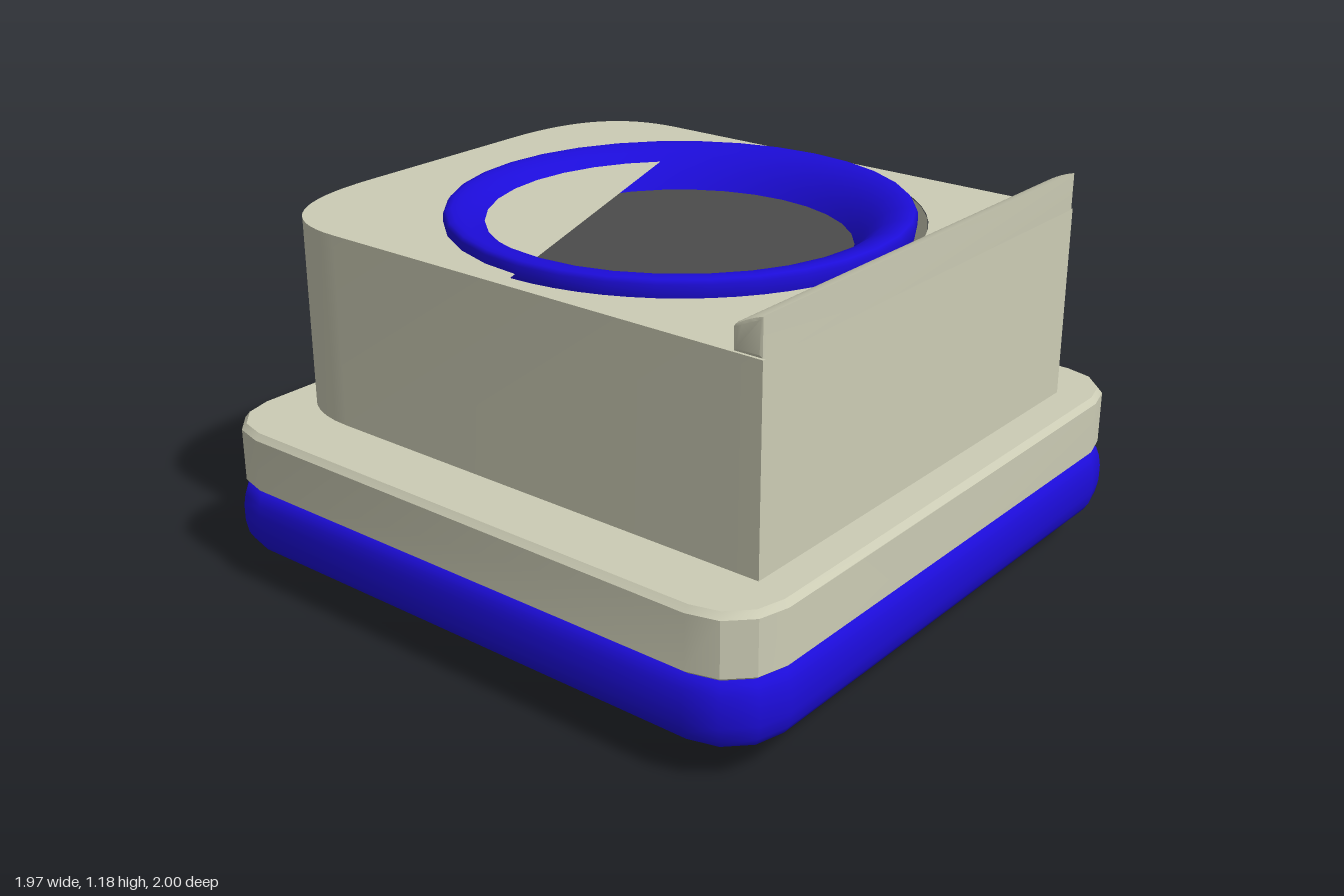
import * as THREE from 'three';
import { toCreasedNormals } from 'three/addons/utils/BufferGeometryUtils.js';

const CREAM = 0xccccb5, BLUE = 0x1c0cd8, DARK = 0x4b4b4b;
const CZ = 0.015; // the base and the bowl share this centre in z

// Outlines are counter-clockwise [x, -z] points
function roundedRect(h, r) {
  const pts = [];
  for (let q = 0; q < 4; q++) {
    const sx = q === 0 || q === 3 ? 1 : -1, sy = q < 2 ? 1 : -1;
    for (let i = 0; i <= 3; i++) {
      const a = (q + i / 3) * Math.PI / 2;
      pts.push(new THREE.Vector2(sx * (h - r) + r * Math.cos(a), sy * (h - r) + r * Math.sin(a)));
    }
  }
  return pts;
}

// Stacks outlines [y, points] from bottom to top, with optional flat ends
function loft(rings, crease, capped) {
  const pos = [], n = rings[0][1].length;
  const add = ([y, pts], i) => pos.push(pts[i % n].x, y, -pts[i % n].y);
  for (let k = 0; k + 1 < rings.length; k++) {
    const lo = rings[k], hi = rings[k + 1];
    for (let i = 0; i < n; i++) {
      add(lo, i); add(lo, i + 1); add(hi, i + 1);
      add(lo, i); add(hi, i + 1); add(hi, i);
    }
  }
  if (capped) {
    const bottom = rings[0], top = rings[rings.length - 1];
    for (let i = 1; i + 1 < n; i++) {
      add(bottom, 0); add(bottom, i + 1); add(bottom, i);
      add(top, 0); add(top, i); add(top, i + 1);
    }
  }
  const g = new THREE.BufferGeometry();
  g.setAttribute('position', new THREE.Float32BufferAttribute(pos, 3));
  return toCreasedNormals(g, crease);
}

export function createModel() {
  const model = new THREE.Group();
  function part(name, geometry, color, x = 0, y = 0, z = 0, side = THREE.FrontSide) {
    const mesh = new THREE.Mesh(geometry, new THREE.MeshStandardMaterial({ color, side }));
    mesh.name = name;
    mesh.position.set(x, y, z);
    model.add(mesh);
    return mesh;
  }

  // Bulging lower base: [y, half width]
  const lower = [[0.11, 0.945], [0.117, 0.962], [0.14, 0.976], [0.18, 0.984], [0.23, 0.984],
    [0.265, 0.978], [0.29, 0.968], [0.30, 0.955]];
  part('lowerBase', loft(lower.map(([y, h]) => [y, roundedRect(h, h - 0.79)]), 0.75, true), BLUE, 0, 0, CZ);

  // Upper base slab with a thin bevel at both edges
  const slab = [[0.30, 0.955], [0.312, 0.97], [0.472, 0.97], [0.49, 0.955]];
  part('upperBase', loft(slab.map(([y, h]) => [y, roundedRect(h, h - 0.79)]), 0.5, true), CREAM, 0, 0, CZ);

  // Feet
  for (const x of [-0.7, 0.7]) for (const z of [-0.73, 0.73])
    part('foot', new THREE.CylinderGeometry(0.068, 0.045, 0.12, 20), DARK, x, 0.06, z + CZ);

  // Body: square at the front, rounded at the back
  const outline = new THREE.Shape();
  outline.moveTo(-0.76, -0.87);
  outline.lineTo(0.76, -0.87);
  outline.lineTo(0.76, 0.62);
  outline.quadraticCurveTo(0.76, 0.95, 0.32, 0.95);
  outline.lineTo(-0.32, 0.95);
  outline.quadraticCurveTo(-0.76, 0.95, -0.76, 0.62);
  outline.closePath();
  const points = outline.getPoints(12);
  if (points[0].equals(points[points.length - 1])) points.pop();
  part('bodyWalls', loft([[0.49, points], [1.07, points]], 0.6, false), CREAM);

  // Body top: round opening cut off by a slanted straight edge at the back
  const opening = new THREE.Path();
  opening.moveTo(-0.71, -CZ);
  opening.absarc(0, -CZ, 0.71, Math.PI, Math.PI * 2, false);
  opening.lineTo(0.55, 0.44);
  opening.closePath();
  outline.holes.push(opening);
  part('bodyTop', new THREE.ShapeGeometry(outline, 16).rotateX(-Math.PI / 2), CREAM, 0, 1.07, 0, THREE.DoubleSide);
  part('openingWall', new THREE.CylinderGeometry(0.71, 0.71, 0.575, 40, 1, true),
    CREAM, 0, 0.78, CZ, THREE.DoubleSide);

  // Raised lip along the front edge
  const lip = new THREE.Shape();
  lip.moveTo(0.78, 1.07);
  lip.lineTo(0.87, 1.07);
  lip.lineTo(0.87, 1.18);
  lip.quadraticCurveTo(0.83, 1.17, 0.79, 1.145);
  lip.lineTo(0.78, 1.135);
  lip.closePath();
  const lipGeometry = new THREE.ExtrudeGeometry(lip, {
    depth: 1.5, bevelThickness: 0.01, bevelSize: 0.01, bevelOffset: -0.01, bevelSegments: 2, curveSegments: 6,
  });
  part('frontLip', toCreasedNormals(lipGeometry.rotateY(-Math.PI / 2), 0.5), CREAM, 0.75);

  // Bowl ring, from the outer skirt over the rim and down to the plate
  const rim = [[0.66, 0.99], [0.68, 1.06], [0.68, 1.095], [0.672, 1.107], [0.655, 1.111], [0.63, 1.108],
    [0.595, 1.095], [0.56, 1.068], [0.525, 1.03], [0.5, 0.99]].map(([r, y]) => new THREE.Vector2(r, y));
  part('bowlRing', new THREE.LatheGeometry(rim, 32), BLUE, 0, 0, CZ, THREE.DoubleSide);
  part('bowlPlate', new THREE.CylinderGeometry(0.505, 0.505, 0.03, 32), DARK, 0, 0.98, CZ);

  // Control panel on the back
  part('controlPanel', new THREE.BoxGeometry(0.64, 0.19, 0.02), BLUE, 0, 0.775, -0.96);
  const display = new THREE.CylinderGeometry(0.055, 0.055, 0.29, 24).rotateZ(Math.PI / 2).scale(1, 1, 0.32);
  part('display', display, 0xb8b8b8, 0.148, 0.775, -0.968);
  for (const [name, color, x] of [['redButton', 0xee1111, -0.228], ['greenButton', 0x1fc40f, -0.085]])
    part(name, new THREE.CylinderGeometry(0.055, 0.055, 0.035, 24).rotateX(Math.PI / 2), color, x, 0.775, -0.9825);

  return model;
}
